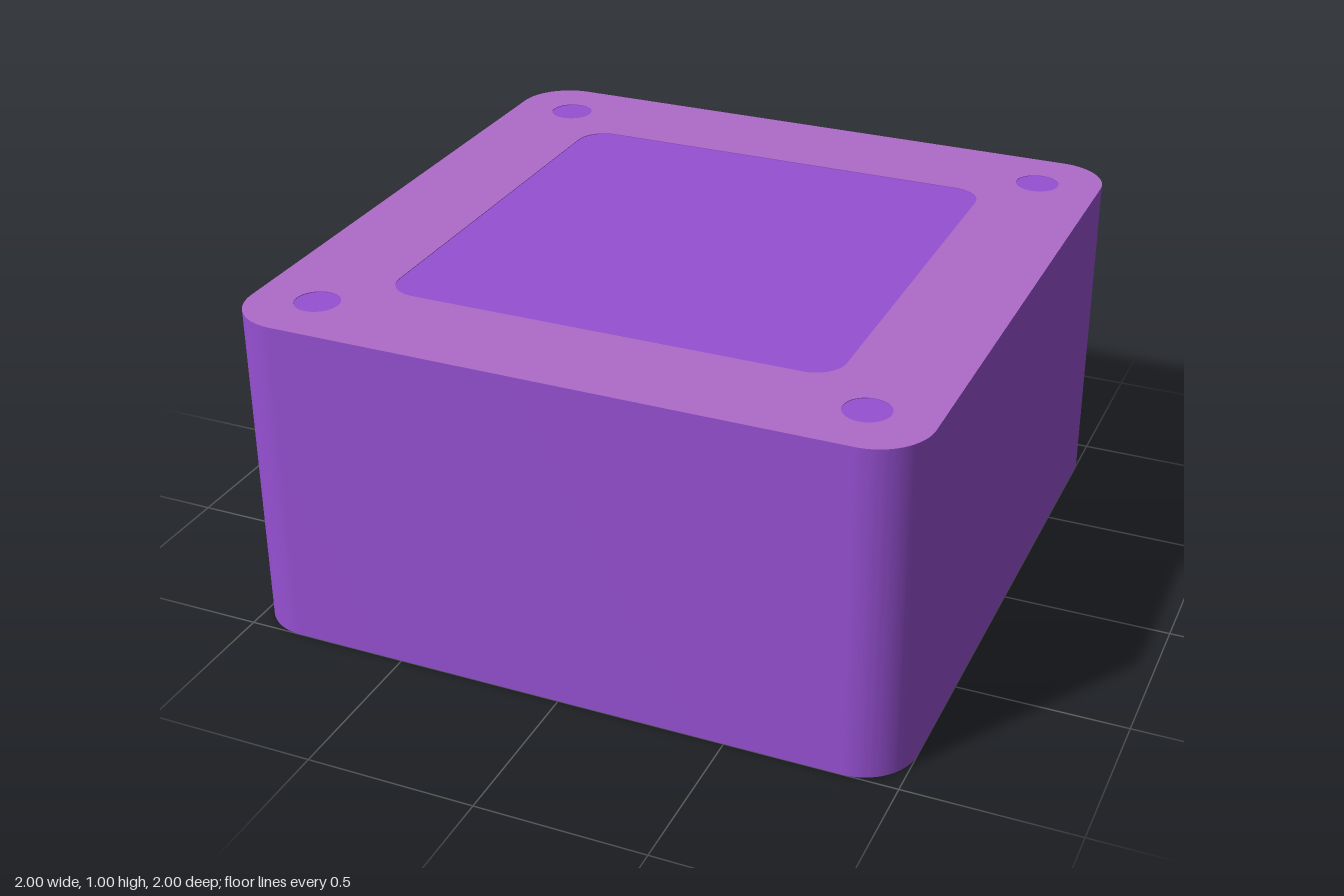
import * as THREE from 'three';
import { toCreasedNormals } from 'three/addons/utils/BufferGeometryUtils.js';

const HEIGHT = 1;
const FACE = 0.002; // thickness of the painted top face

// Square outline with rounded corners, centred on the origin
function roundedSquare(half, r, Type = THREE.Shape) {
  const s = new Type();
  const c = half - r;
  s.absarc(c, c, r, 0, Math.PI / 2, false);
  s.absarc(-c, c, r, Math.PI / 2, Math.PI, false);
  s.absarc(-c, -c, r, Math.PI, Math.PI * 1.5, false);
  s.absarc(c, -c, r, Math.PI * 1.5, Math.PI * 2, false);
  s.closePath();
  return s;
}

// Upright extrusion with smooth corners and sharp rims
function slab(shape, depth, y) {
  const g = new THREE.ExtrudeGeometry(shape, { depth, bevelEnabled: false, curveSegments: 16 });
  g.rotateX(-Math.PI / 2);
  g.translate(0, y, 0);
  return toCreasedNormals(g, Math.PI / 6);
}

export function createModel() {
  const violet = new THREE.MeshStandardMaterial({ color: 0x9650d2 });
  violet.name = 'violet';
  const mauve = new THREE.MeshStandardMaterial({ color: 0xae6aca });
  mauve.name = 'mauve';

  const model = new THREE.Group();
  model.name = 'roundedBlock';

  // Solid block
  const body = new THREE.Mesh(slab(roundedSquare(1, 0.16), HEIGHT - FACE, 0), violet);
  body.name = 'body';
  model.add(body);

  // Top frame: the block shows through the square window and corner dots
  const frame = roundedSquare(1, 0.16);
  frame.holes.push(roundedSquare(0.673, 0.09, THREE.Path));
  for (const x of [-0.807, 0.807]) {
    for (const y of [-0.807, 0.807]) {
      const dot = new THREE.Path();
      dot.absarc(x, y, 0.066, 0, Math.PI * 2, false);
      frame.holes.push(dot);
    }
  }
  const topFrame = new THREE.Mesh(slab(frame, FACE, HEIGHT - FACE), [mauve, violet]);
  topFrame.name = 'topFrame';
  model.add(topFrame);

  return model;
}
